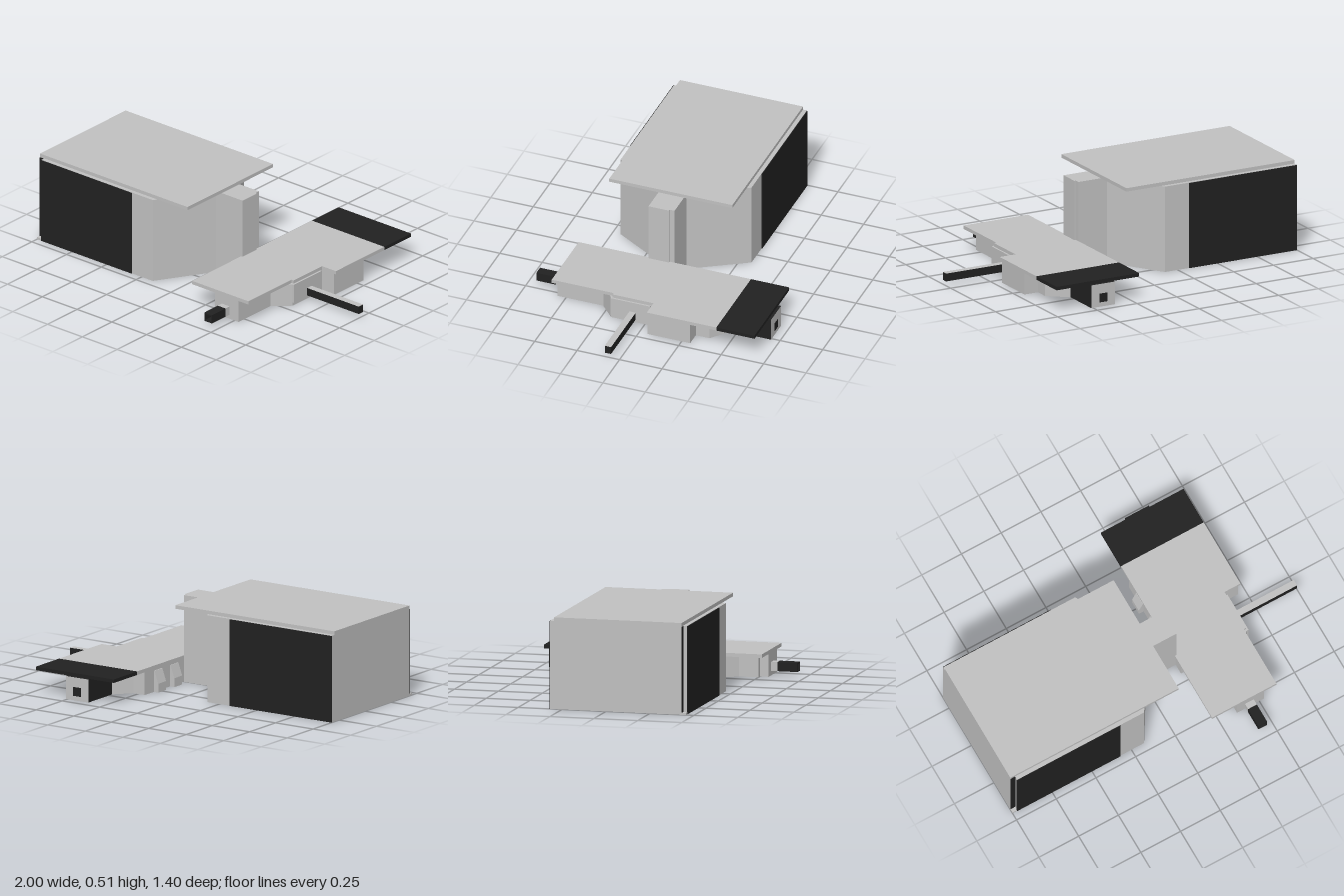
import * as THREE from 'three';

const gray = new THREE.MeshStandardMaterial({ color: 0xc0c0c0 });
gray.name = 'light gray';
const black = new THREE.MeshStandardMaterial({ color: 0x212121 });
black.name = 'black';

export function createModel() {
  const root = new THREE.Group();
  root.name = 'building';

  function add(parent, name, geometry, material) {
    const mesh = new THREE.Mesh(geometry, material);
    mesh.name = name;
    parent.add(mesh);
    return mesh;
  }

  // Vertical prism from a plan outline of [x, z] points; materials are [caps, sides]
  function slab(parent, name, plan, y0, y1, material = gray) {
    const shape = new THREE.Shape(plan.map(([x, z]) => new THREE.Vector2(x, -z)));
    const geometry = new THREE.ExtrudeGeometry(shape, { depth: y1 - y0, bevelEnabled: false });
    geometry.rotateX(-Math.PI / 2).translate(0, y0, 0);
    return add(parent, name, geometry, material);
  }

  // Box given by its limits
  function box(parent, name, [x0, x1], [y0, y1], [z0, z1], material = gray) {
    const geometry = new THREE.BoxGeometry(x1 - x0, y1 - y0, z1 - z0);
    geometry.translate((x0 + x1) / 2, (y0 + y1) / 2, (z0 + z1) / 2);
    return add(parent, name, geometry, material);
  }

  // Tall hall with a tapered end
  const hall = new THREE.Group();
  hall.name = 'hall';
  root.add(hall);
  slab(hall, 'hallWalls', [
    [-1, -0.318], [-0.17, -0.318], [0.02, -0.01], [0.02, 0.14],
    [-0.17, 0.453], [-0.97, 0.453], [-0.97, 0.43], [-1, 0.43],
  ], 0, 0.49);
  box(hall, 'cornerLedge', [-1, -0.97], [0, 0.012], [0.43, 0.455]);
  slab(hall, 'connector', [
    [0.0, -0.01], [0.2, -0.01], [0.2, 0.02], [0.21, 0.02], [0.21, 0.14], [0.0, 0.14],
  ], 0, 0.49);
  box(hall, 'hallRoof', [-1, 0.06], [0.49, 0.51], [-0.295, 0.43]);
  box(hall, 'frontPanel', [-0.972, -0.32], [0, 0.488], [0.452, 0.457], black);
  box(hall, 'frontCornerPanel', [-1, -0.97], [0.012, 0.488], [0.429, 0.433], black);
  box(hall, 'backPanel', [-1, -0.32], [0, 0.488], [-0.322, -0.317], black);

  // Low wing with stepped and chamfered walls
  const wing = new THREE.Group();
  wing.name = 'lowWing';
  root.add(wing);
  slab(wing, 'wingWalls', [
    [0.36, 0.55], [0.53, 0.55], [0.53, 0.28], [0.62, 0.2], [0.62, -0.05],
    [0.705, -0.05], [0.705, -0.3], [0.62, -0.3], [0.62, -0.38], [0.51, -0.47],
    [0.36, -0.47], [0.28, -0.38], [0.205, -0.38], [0.205, 0.2],
    [0.25, 0.2], [0.25, 0.28], [0.33, 0.39], [0.33, 0.5], [0.36, 0.5],
  ], 0, 0.13);
  box(wing, 'sidePorch', [0.6, 0.63], [0.02, 0.13], [-0.035, 0.2]);
  slab(wing, 'wingRoof', [
    [0.2, -0.46], [0.72, -0.46], [0.72, -0.05], [0.62, -0.05],
    [0.62, 0.19], [0.605, 0.19], [0.605, 0.555], [0.2, 0.555],
  ], 0.13, 0.15);
  box(wing, 'backRoof', [0.2, 0.72], [0.13, 0.15], [-0.685, -0.46], black);

  // Black back block with a pale end wall and a square opening
  box(wing, 'backBlock', [0.36, 0.51], [0, 0.13], [-0.7, -0.465],
    [black, black, black, black, black, gray]);
  box(wing, 'backOpening', [0.41, 0.46], [0.025, 0.075], [-0.702, -0.698], black);

  // Sloping buttresses against the wall facing the hall
  for (const z of [-0.255, -0.1]) {
    const profile = new THREE.Shape([
      new THREE.Vector2(0.21, 0), new THREE.Vector2(0.175, 0),
      new THREE.Vector2(0.175, 0.05), new THREE.Vector2(0.2, 0.12), new THREE.Vector2(0.21, 0.12),
    ]);
    const geometry = new THREE.ExtrudeGeometry(profile, { depth: 0.075, bevelEnabled: false });
    geometry.translate(0, 0, z - 0.0375);
    add(wing, 'buttress', geometry, gray);
  }

  // Long side arm with a pale top
  box(wing, 'sideArm', [0.62, 1], [0.025, 0.07], [0.05, 0.087],
    [black, black, gray, black, black, black]);

  // Hollow front arm: pale root, black tip
  function tube(name, z0, z1, material) {
    const outline = (i) => [[0.41 + i, 0.025 + i], [0.465 - i, 0.025 + i], [0.465 - i, 0.075 - i], [0.41 + i, 0.075 - i]]
      .map(([x, y]) => new THREE.Vector2(x, y));
    const shape = new THREE.Shape(outline(0));
    shape.holes.push(new THREE.Path(outline(0.007)));
    const geometry = new THREE.ExtrudeGeometry(shape, { depth: z1 - z0, bevelEnabled: false });
    geometry.translate(0, 0, z0);
    add(wing, name, geometry, material);
  }
  tube('frontArmRoot', 0.54, 0.585, gray);
  tube('frontArmTip', 0.585, 0.7, black);

  return root;
}
